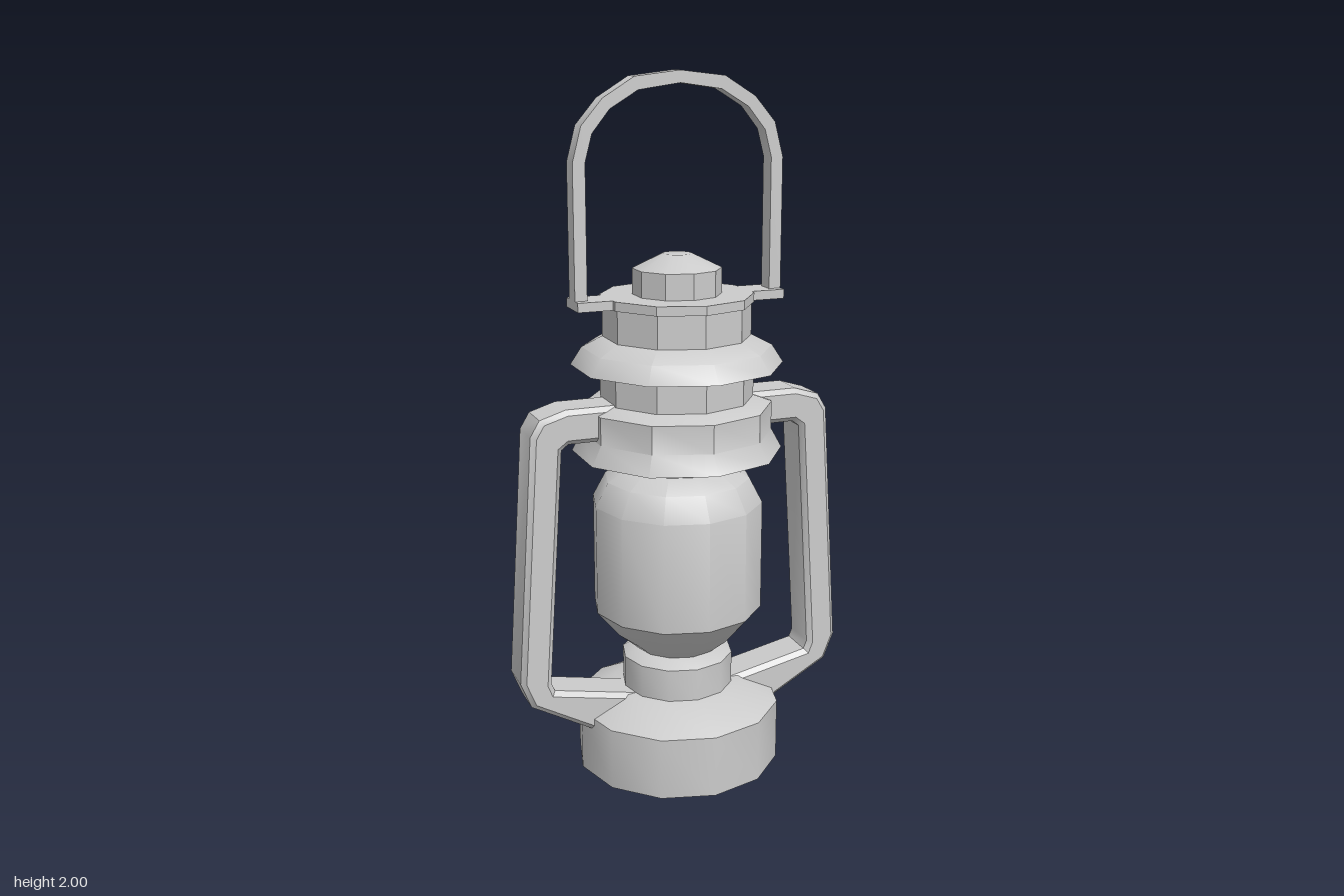
import * as THREE from 'three';
import { toCreasedNormals } from 'three/addons/utils/BufferGeometryUtils.js';

const material = new THREE.MeshStandardMaterial({ color: 0xcccccc });
const CREASE = 0.6;

const points = (list) => list.map(([x, y]) => new THREE.Vector2(x, y));

export function createModel() {
  const model = new THREE.Group();
  model.name = 'lantern';

  function add(name, geometry) {
    const mesh = new THREE.Mesh(toCreasedNormals(geometry, CREASE), material);
    mesh.name = name;
    model.add(mesh);
    return mesh;
  }

  // Turned part: profile runs from bottom to top as [radius, height]
  const turned = (name, sides, profile) =>
    add(name, new THREE.LatheGeometry(points(profile), sides));

  // Flat outline extruded along z and centred, with an optional chamfer
  function slab(name, outline, width, chamfer) {
    const geometry = new THREE.ExtrudeGeometry(new THREE.Shape(points(outline)), {
      depth: width - 2 * chamfer,
      bevelEnabled: chamfer > 0,
      bevelThickness: chamfer,
      bevelSize: chamfer,
      bevelOffset: -chamfer,
      bevelSegments: 1,
    });
    geometry.translate(0, 0, -width / 2 + chamfer);
    return add(name, geometry);
  }

  // Fuel tank, burner neck and glass
  turned('fuelTank', 12, [[0, 0], [0.3, 0], [0.3, 0.18], [0.19, 0.235], [0, 0.235]]);
  turned('burner', 12, [[0, 0.22], [0.163, 0.22], [0.163, 0.33], [0.12, 0.355], [0, 0.355]]);
  turned('glass', 12, [
    [0, 0.35], [0.12, 0.35], [0.18, 0.4], [0.247, 0.48], [0.247, 0.8],
    [0.21, 0.87], [0.15, 0.905], [0, 0.905],
  ]);
  turned('glassCollar', 12, [[0.15, 0.9], [0.15, 1.0]]);

  // Hood: two flared skirts with drums between them
  turned('lowerSkirt', 10, [
    [0, 0.99], [0.25, 0.99], [0.3, 0.95], [0.27, 1.005], [0.27, 1.085], [0.215, 1.105], [0, 1.105],
  ]);
  turned('middleDrum', 10, [[0.217, 1.09], [0.217, 1.24]]);
  turned('upperSkirt', 10, [
    [0, 1.23], [0.24, 1.23], [0.3, 1.2], [0.268, 1.25], [0.21, 1.28], [0, 1.28],
  ]);
  turned('upperDrum', 10, [[0.209, 1.27], [0.209, 1.38]]);

  // Top plate with two ears carrying the handle
  turned('topPlate', 10, [[0, 1.372], [0.216, 1.372], [0.216, 1.398], [0, 1.398]]);
  const ears = add('handleEars', new THREE.BoxGeometry(0.61, 0.026, 0.1));
  ears.position.y = 1.385;
  turned('cap', 10, [[0, 1.39], [0.125, 1.39], [0.125, 1.47], [0.042, 1.51], [0, 1.51]]);

  // Carrying handle: outer half and inner half, mirrored across x
  const outer = [[0.305, 1.385], [0.305, 1.765], [0.28, 1.86], [0.22, 1.93], [0.13, 1.985]];
  const inner = [[0.27, 1.385], [0.27, 1.765], [0.25, 1.84], [0.2, 1.902], [0.12, 1.95]];
  const mirror = (list) => list.map(([x, y]) => [-x, y]);
  slab('carryingHandle', [
    ...outer, [0, 2], ...mirror(outer).reverse(),
    ...mirror(inner), [0, 1.967], ...[...inner].reverse(),
  ], 0.052, 0);

  // Side arms joining the tank to the hood
  const arm = [
    [0.15, 0.17], [0.285, 0.145], [0.465, 0.245], [0.495, 0.32], [0.447, 1.04],
    [0.42, 1.085], [0.345, 1.108], [0.2, 1.108], [0.2, 1.01], [0.34, 1.01],
    [0.36, 0.995], [0.405, 0.31], [0.395, 0.285], [0.15, 0.235],
  ];
  slab('leftArm', arm, 0.13, 0.014);
  slab('rightArm', mirror(arm).reverse(), 0.13, 0.014);

  return model;
}
